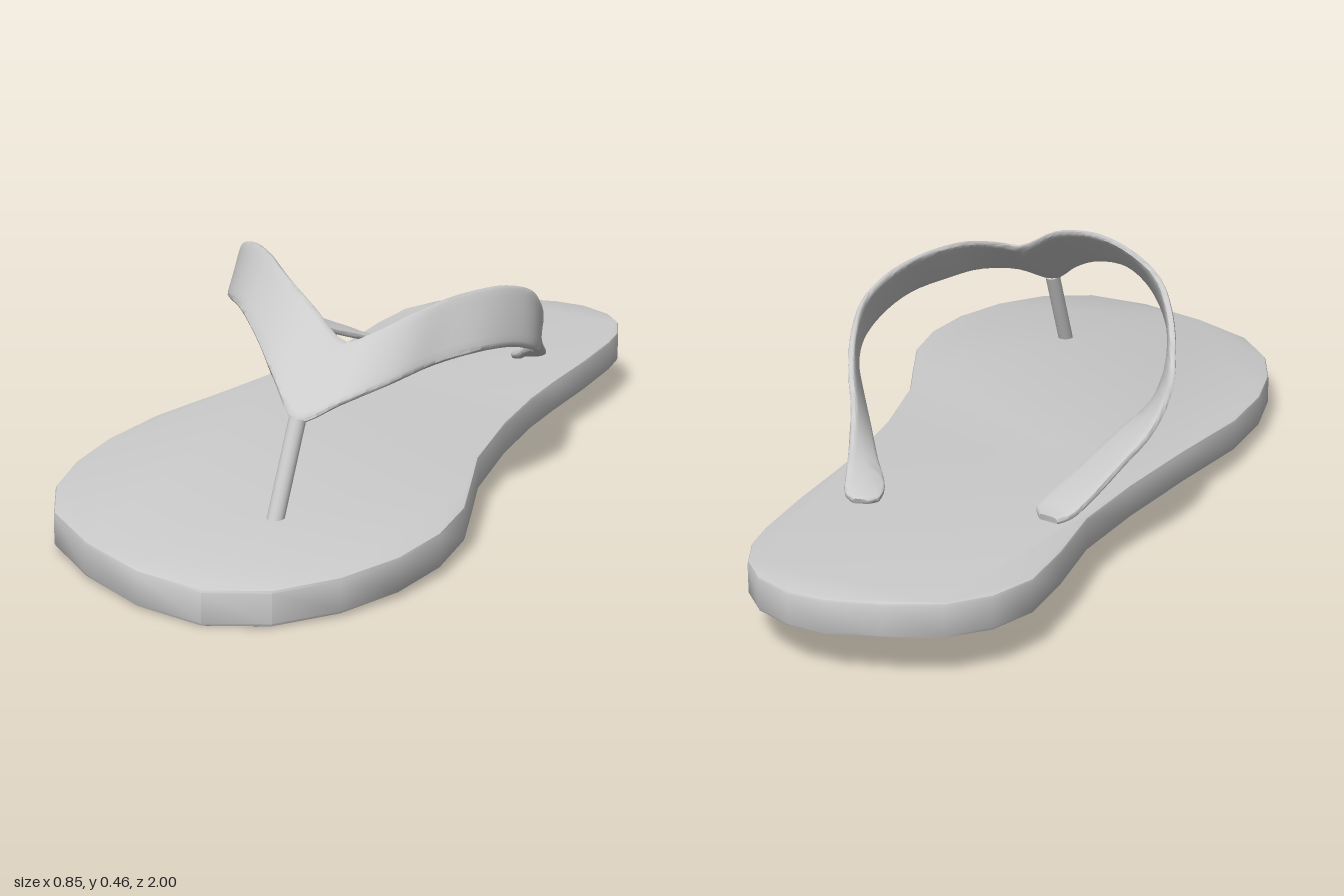
import * as THREE from 'three';
import { toCreasedNormals } from 'three/addons/utils/BufferGeometryUtils.js';

const V = (p) => new THREE.Vector3(...p);
const material = new THREE.MeshStandardMaterial({ color: 0xcccccc });

// Sole outline as x, z pairs
const OUTLINE = [
  [0.135, -1], [0.235, -0.995], [0.305, -0.97], [0.37, -0.91], [0.405, -0.84], [0.42, -0.75],
  [0.415, -0.67], [0.39, -0.51], [0.357, -0.34], [0.335, -0.21], [0.318, -0.03], [0.315, 0.2],
  [0.335, 0.34], [0.355, 0.49], [0.345, 0.635], [0.305, 0.77], [0.235, 0.89], [0.14, 0.975],
  [0.025, 1], [-0.11, 0.94], [-0.245, 0.825], [-0.357, 0.69], [-0.41, 0.545], [-0.425, 0.4],
  [-0.415, 0.25], [-0.375, 0.08], [-0.29, -0.13], [-0.21, -0.345], [-0.15, -0.535],
  [-0.125, -0.715], [-0.095, -0.85], [-0.04, -0.935], [0.035, -0.985],
];

// Both edges of the strap, from the toe joint back to each anchor: [upper edge, lower edge]
const TOE = [[0.11, 0.355, 0.4], [0.06, 0.24, 0.56]];
const RIGHT = [
  [[0.03, 0.405, 0.34], [0, 0.29, 0.49]],
  [[-0.05, 0.437, 0.24], [-0.06, 0.335, 0.39]],
  [[-0.11, 0.453, 0.14], [-0.14, 0.367, 0.25]],
  [[-0.17, 0.455, 0.04], [-0.2, 0.36, 0.13]],
  [[-0.225, 0.438, -0.05], [-0.243, 0.335, 0]],
  [[-0.255, 0.403, -0.13], [-0.262, 0.305, -0.1]],
  [[-0.272, 0.355, -0.21], [-0.258, 0.28, -0.19]],
  [[-0.277, 0.3, -0.29], [-0.235, 0.245, -0.245]],
  [[-0.255, 0.245, -0.375], [-0.19, 0.22, -0.31]],
  [[-0.2, 0.195, -0.46], [-0.14, 0.187, -0.38]],
  [[-0.15, 0.155, -0.54], [-0.09, 0.157, -0.46]],
  [[-0.125, 0.138, -0.565], [-0.055, 0.135, -0.52]],
  [[-0.1, 0.132, -0.578], [-0.065, 0.132, -0.557]],
];
const LEFT = [
  [[0.155, 0.368, 0.37], [0.13, 0.268, 0.53]],
  [[0.205, 0.39, 0.295], [0.2, 0.29, 0.45]],
  [[0.25, 0.402, 0.2], [0.255, 0.303, 0.33]],
  [[0.29, 0.403, 0.11], [0.315, 0.305, 0.21]],
  [[0.325, 0.395, 0.02], [0.355, 0.29, 0.09]],
  [[0.353, 0.37, -0.07], [0.374, 0.265, 0]],
  [[0.358, 0.325, -0.15], [0.367, 0.238, -0.09]],
  [[0.347, 0.278, -0.23], [0.338, 0.215, -0.18]],
  [[0.328, 0.235, -0.31], [0.303, 0.185, -0.28]],
  [[0.318, 0.19, -0.39], [0.268, 0.155, -0.38]],
  [[0.31, 0.155, -0.47], [0.238, 0.138, -0.46]],
  [[0.303, 0.138, -0.51], [0.238, 0.131, -0.51]],
  [[0.285, 0.13, -0.525], [0.257, 0.128, -0.525]],
];

// Loft a thin rounded band between two edge curves
function bandGeometry(stations, halfThickness, steps = 104, sides = 16) {
  const upper = new THREE.CatmullRomCurve3(stations.map((s) => V(s[0])), false, 'centripetal');
  const lower = new THREE.CatmullRomCurve3(stations.map((s) => V(s[1])), false, 'centripetal');
  const middle = (t) => upper.getPoint(t).add(lower.getPoint(t)).multiplyScalar(0.5);
  const positions = [];
  const indices = [];
  const round = (v) => Math.sign(v) * Math.sqrt(Math.abs(v));
  for (let i = 0; i <= steps; i++) {
    const t = i / steps;
    const centre = middle(t);
    const half = upper.getPoint(t).sub(centre);
    const tangent = middle(Math.min(1, t + 0.008)).sub(middle(Math.max(0, t - 0.008)));
    const normal = tangent.cross(half).normalize();
    for (let j = 0; j < sides; j++) {
      const a = (j / sides) * Math.PI * 2;
      const p = centre.clone().addScaledVector(half, round(Math.cos(a)))
        .addScaledVector(normal, halfThickness * round(Math.sin(a)));
      positions.push(p.x, p.y, p.z);
      if (i === steps) continue;
      const p0 = i * sides + j;
      const p1 = i * sides + ((j + 1) % sides);
      indices.push(p0, p0 + sides, p1, p1, p0 + sides, p1 + sides);
    }
  }
  // Close both ends
  for (let j = 1; j < sides - 1; j++) {
    const e = steps * sides;
    indices.push(0, j, j + 1, e, e + j + 1, e + j);
  }
  const geometry = new THREE.BufferGeometry();
  geometry.setAttribute('position', new THREE.Float32BufferAttribute(positions, 3));
  geometry.setIndex(indices);
  return toCreasedNormals(geometry, 0.9);
}

// Flat slab tilted up towards the heel
function soleGeometry() {
  const bevel = 0.006;
  const shape = new THREE.Shape(OUTLINE.map(([x, z]) => new THREE.Vector2(x, -z)));
  const geometry = new THREE.ExtrudeGeometry(shape, {
    depth: 0.065 - 2 * bevel, bevelThickness: bevel, bevelSize: bevel, bevelOffset: -bevel, bevelSegments: 2,
  });
  geometry.rotateX(-Math.PI / 2).translate(0, bevel, 0);
  const pos = geometry.attributes.position;
  for (let i = 0; i < pos.count; i++) pos.setY(i, pos.getY(i) + 0.04 * (1 - pos.getZ(i)));
  return toCreasedNormals(geometry, 0.6);
}

// Cylinder between two points
function rodGeometry(a, b, radius) {
  const axis = b.clone().sub(a);
  const geometry = new THREE.CylinderGeometry(radius, radius, axis.length(), 16);
  geometry.applyQuaternion(new THREE.Quaternion().setFromUnitVectors(V([0, 1, 0]), axis.clone().normalize()));
  const mid = a.clone().add(b).multiplyScalar(0.5);
  return geometry.translate(mid.x, mid.y, mid.z);
}

export function createModel() {
  const model = new THREE.Group();
  model.name = 'sandal';
  const add = (name, geometry, mat = material) => {
    const mesh = new THREE.Mesh(geometry, mat);
    mesh.name = name;
    model.add(mesh);
  };
  const strapMaterial = material.clone();
  strapMaterial.side = THREE.DoubleSide;

  add('sole', soleGeometry());
  add('strap', bandGeometry([...RIGHT].reverse().concat([TOE], LEFT), 0.008), strapMaterial);
  add('toePost', rodGeometry(V([0.04, 0.07, 0.632]), V([0.062, 0.245, 0.56]), 0.016));
  return model;
}
